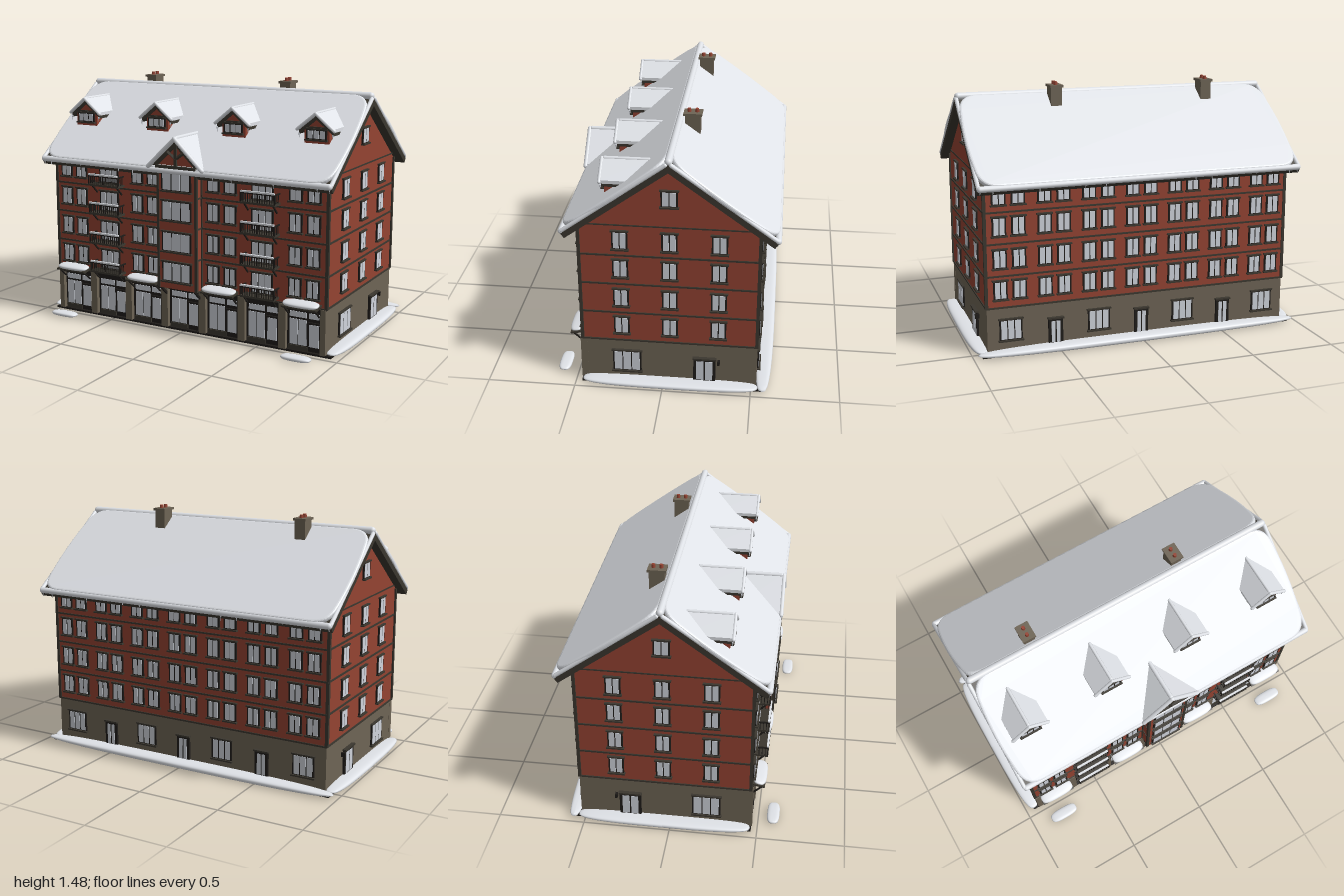
import * as THREE from 'three';

const mat = (name, color, side = THREE.FrontSide) => {
  const m = new THREE.MeshStandardMaterial({ color, side });
  m.name = name;
  return m;
};
const BRICK = mat('red wall', 0x944332);
const STONE = mat('stone', 0x6e6455);
const TRIM = mat('dark timber', 0x3b372f);
const BLACK = mat('black', 0x1f1c19);
const GLASS = mat('pale glass', 0xd0d4dc);
const SNOW = mat('snow', 0xe2e5ea);

const FRONT = 0.46, BACK = -0.53, MID = -0.035, SIDE = 0.915;
const BAYS = [-0.78, -0.52, -0.26, 0, 0.26, 0.52, 0.78];
const ROWS = [0.39, 0.57, 0.755, 0.93];

function add(parent, name, geo, m, x = 0, y = 0, z = 0) {
  const mesh = new THREE.Mesh(geo, m);
  mesh.name = name;
  mesh.position.set(x, y, z);
  parent.add(mesh);
  return mesh;
}
const box = (p, name, m, w, h, d, x, y, z) => add(p, name, new THREE.BoxGeometry(w, h, d), m, x, y, z);

function group(parent, name, x = 0, y = 0, z = 0, ry = 0) {
  const g = new THREE.Group();
  g.name = name;
  g.position.set(x, y, z);
  g.rotation.y = ry;
  parent.add(g);
  return g;
}
function polygon(points, depth) {
  const shape = new THREE.Shape(points.map(([x, y]) => new THREE.Vector2(x, y)));
  return new THREE.ExtrudeGeometry(shape, { depth, bevelEnabled: false });
}
// Bar between two points in the x-y or z-y plane
function bar(p, name, m, a, b, t) {
  const va = new THREE.Vector3(...a), vb = new THREE.Vector3(...b);
  const mesh = box(p, name, m, t, t, va.distanceTo(vb), 0, 0, 0);
  mesh.position.copy(va).lerp(vb, 0.5);
  mesh.quaternion.setFromUnitVectors(new THREE.Vector3(0, 0, 1), vb.clone().sub(va).normalize());
  return mesh;
}
// Rounded snow heap: a sphere squared off along its length
function drift(p, name, sx, sy, sz, x, y, z) {
  const geo = new THREE.SphereGeometry(1, 32, 16);
  const pos = geo.attributes.position;
  const sq = (v, e) => Math.sign(v) * Math.abs(v) ** e;
  for (let i = 0; i < pos.count; i++)
    pos.setXYZ(i, sq(pos.getX(i), 0.65) * sx, sq(pos.getY(i), 0.8) * sy, sq(pos.getZ(i), 0.65) * sz);
  geo.computeVertexNormals();
  return add(p, name, geo, SNOW, x, y, z);
}
// Window facing +z: frame, panes, lintel and sill
function windowUnit(p, name, w, h, panes, x, y, z, ry = 0) {
  const g = group(p, name, x, y, z, ry);
  box(g, 'frame', BLACK, w + 0.012, h + 0.012, 0.012, 0, 0, 0);
  const pw = w / panes;
  for (let i = 0; i < panes; i++)
    box(g, 'pane', GLASS, pw - 0.006, h - 0.006, 0.004, (i + 0.5) * pw - w / 2, 0, 0.006);
  box(g, 'lintel', TRIM, w + 0.025, 0.009, 0.02, 0, h / 2 + 0.006, 0.002);
  box(g, 'sill', TRIM, w + 0.025, 0.009, 0.026, 0, -h / 2 - 0.006, 0.004);
  return g;
}
function door(p, name, w, x, y, z, ry) {
  const g = group(p, name, x, y, z, ry);
  box(g, 'frame', BLACK, w + 0.025, 0.15, 0.02, 0, 0.075, 0);
  for (const s of [-1, 1]) box(g, 'pane', GLASS, w / 2 - 0.008, 0.125, 0.004, s * w / 4, 0.07, 0.01);
  box(g, 'hood', TRIM, w + 0.035, 0.01, 0.03, 0, 0.15, 0.004);
  return g;
}
// Chevron roof running back from its front edge along -z
function smallRoof(p, hw, drop, length, t) {
  const chevron = (w, top, thick, d) => {
    const k = drop / hw;
    return polygon([[0, top], [-w, top - w * k], [-w, top - w * k - thick], [0, top - thick], [w, top - w * k - thick], [w, top - w * k]], d);
  };
  add(p, 'roofBoards', chevron(hw - 0.006, 0, t, length - 0.01), TRIM, 0, 0, -length);
  add(p, 'roofSnow', chevron(hw, t * 0.8, t * 0.8, length), SNOW, 0, 0, -length);
  // Rounded snow along ridge and front edges
  const r = t * 0.42;
  add(p, 'ridgeSnow', new THREE.CapsuleGeometry(r, length - 0.03, 4, 10), SNOW, 0, t * 0.45, -length / 2).rotation.x = Math.PI / 2;
  for (const s of [-1, 1]) {
    const e = add(p, 'edgeSnow', new THREE.CapsuleGeometry(r, Math.hypot(hw, drop), 4, 10), SNOW, s * hw / 2, t * 0.4 - drop / 2, 0);
    e.rotation.z = s * Math.atan2(hw, drop);
  }
}
function icicle(p, x, y, z, l) {
  add(p, 'icicle', new THREE.ConeGeometry(0.005, l, 6), GLASS, x, y - l / 2, z).rotation.x = Math.PI;
}

function walls(m) {
  const half = 0.495;
  const body = add(m, 'brickBody', polygon([[-half, 0.285], [half, 0.285], [half, 0.995], [0, 1.36], [-half, 0.995]], SIDE * 2), BRICK, -SIDE, 0, MID);
  body.rotation.y = Math.PI / 2;
  box(m, 'stoneBase', STONE, SIDE * 2, 0.27, 0.97, 0, 0.15, -0.045);
  box(m, 'basePlate', BLACK, 1.9, 0.012, 1.03, 0, 0.016, -0.05);
  for (const y of [0.287, 0.47, 0.655, 0.835]) box(m, 'floorBand', TRIM, SIDE * 2 + 0.012, 0.01, 1.002, 0, y, MID);
  for (const sx of [-1, 1]) {
    box(m, 'gableBand', TRIM, 0.008, 0.008, 0.96, sx * SIDE, 1.02, MID);
    for (const z of [FRONT - 0.004, BACK + 0.004]) box(m, 'cornerTrim', TRIM, 0.018, 0.71, 0.018, sx * SIDE, 0.64, z);
    // Gable-end openings
    const ry = sx * Math.PI / 2, x = sx * (SIDE + 0.003);
    for (const z of [0.23, -0.04, -0.31])
      for (const y of ROWS) windowUnit(m, 'sideWindow', 0.075, 0.1, 2, x, y, z, ry);
    windowUnit(m, 'atticWindow', 0.08, 0.085, 2, x, 1.19, -0.04, ry);
    windowUnit(m, 'sideShopWindow', 0.15, 0.125, 3, x, 0.15, 0.205, ry);
    door(m, 'sideDoor', 0.1, x, 0.045, -0.235, ry);
    box(m, 'sideLamp', BLACK, 0.025, 0.025, 0.014, sx * (SIDE + 0.012), 0.175, -0.315);
  }
  // Rear openings
  BAYS.forEach((x, i) => {
    for (const y of ROWS)
      for (const s of [-1, 1]) windowUnit(m, 'rearWindow', 0.068, 0.1, 2, x + s * 0.055, y, BACK - 0.003, Math.PI);
    if (i % 2) door(m, 'rearDoor', 0.06, x, 0.045, BACK - 0.003, Math.PI);
    else windowUnit(m, 'rearShopWindow', 0.12, 0.115, 3, x, 0.155, BACK - 0.003, Math.PI);
  });
}

function balcony(m, x, y) {
  const g = group(m, 'balcony', x, y, FRONT);
  const w = 0.215, d = 0.072;
  box(g, 'floor', TRIM, w, 0.012, d, 0, 0, d / 2);
  box(g, 'frontRail', BLACK, w, 0.008, 0.008, 0, 0.056, d - 0.004);
  box(g, 'railSnow', SNOW, w - 0.006, 0.01, 0.012, 0, 0.064, d - 0.004);
  for (let i = 0; i <= 14; i++) box(g, 'baluster', BLACK, i % 7 ? 0.004 : 0.009, 0.056, 0.004, (i / 14 - 0.5) * (w - 0.006), 0.028, d - 0.004);
  for (const s of [-1, 1]) {
    const sx = s * (w / 2 - 0.004);
    box(g, 'sideRail', BLACK, 0.008, 0.008, d, sx, 0.056, d / 2);
    for (const z of [0.018, 0.036, 0.054]) box(g, 'sideBaluster', BLACK, 0.004, 0.056, 0.004, sx, 0.028, z);
    bar(g, 'bracket', BLACK, [s * 0.09, -0.055, 0.004], [s * 0.09, -0.005, 0.055], 0.008);
  }
}

function shopfronts(m) {
  for (let i = 0; i < 8; i++) box(m, 'pillar', STONE, i % 7 ? 0.045 : 0.032, 0.265, 0.04, Math.max(-0.9, Math.min(0.9, (i - 3.5) * 0.26)), 0.153, FRONT - 0.01);
  for (const x of BAYS) {
    const g = group(m, 'shopfront', x, 0, 0.441);
    box(g, 'shopFrame', BLACK, 0.215, 0.265, 0.006, 0, 0.152, 0);
    box(g, 'signBoard', BLACK, 0.21, 0.03, 0.025, 0, 0.272, 0.012);
    box(g, 'plinth', TRIM, 0.12, 0.025, 0.012, -0.04, 0.035, 0.004);
    for (const px of [-0.067, -0.013]) box(g, 'displayPane', GLASS, 0.05, 0.15, 0.004, px, 0.127, 0.004);
    box(g, 'transom', GLASS, 0.104, 0.032, 0.004, -0.04, 0.23, 0.004);
    box(g, 'doorTransom', GLASS, 0.064, 0.032, 0.004, 0.058, 0.23, 0.004);
    box(g, 'doorPane', GLASS, 0.06, 0.13, 0.004, 0.058, 0.115, 0.004);
    box(g, 'doorBeam', BLACK, 0.075, 0.01, 0.016, 0.058, 0.19, 0.006);
  }
  // Snow-covered canopies
  for (const x of [-0.78, -0.26, 0.26, 0.78]) {
    const c = group(m, 'canopy', x, 0.305, FRONT);
    c.rotation.x = 0.2;
    box(c, 'canopyBoard', TRIM, 0.215, 0.01, 0.075, 0, 0, 0.036);
    drift(c, 'canopySnow', 0.108, 0.014, 0.04, 0, 0.014, 0.038);
    for (const s of [-1, 1]) bar(m, 'canopyBrace', BLACK, [x + s * 0.095, 0.235, FRONT], [x + s * 0.095, 0.29, FRONT + 0.06], 0.008);
  }
}

function frontFacade(m) {
  for (const x of BAYS) for (const y of ROWS) {
    if (Math.abs(x) === 0.52) {
      windowUnit(m, 'balconyDoor', 0.125, 0.115, 3, x, y - 0.008, FRONT + 0.003);
      balcony(m, x, y - 0.078);
    } else if (x !== 0) {
      for (const s of [-1, 1]) windowUnit(m, 'frontWindow', 0.068, 0.1, 2, x + s * 0.055, y, FRONT + 0.003);
    } else windowUnit(m, 'bayWindow', 0.185, 0.11, 3, 0, y, 0.533);
  }
  // Projecting centre bay and its gable
  const bay = group(m, 'centreBay');
  add(bay, 'bayWall', polygon([[-0.125, 0.285], [0.125, 0.285], [0.125, 1.02], [0, 1.145], [-0.125, 1.02]], 0.28), BRICK, 0, 0, 0.25);
  for (const s of [-1, 1]) {
    box(bay, 'bayCorner', TRIM, 0.016, 0.73, 0.016, s * 0.127, 0.65, 0.526);
    box(bay, 'baySideBoard', TRIM, 0.012, 0.73, 0.012, s * 0.126, 0.65, 0.464);
    bar(bay, 'bayBracket', BLACK, [s * 0.115, 0.225, FRONT], [s * 0.115, 0.285, 0.525], 0.012);
    bar(bay, 'trussStrut', TRIM, [0, 1.06, 0.538], [s * 0.055, 1.1, 0.538], 0.014);
    for (const y of [0.47, 0.655, 0.835]) box(bay, 'bayBand', TRIM, 0.006, 0.01, 0.07, s * 0.126, y, 0.495);
  }
  box(bay, 'trussPost', TRIM, 0.016, 0.15, 0.014, 0, 1.08, 0.54);
  box(bay, 'trussTie', TRIM, 0.27, 0.018, 0.016, 0, 1.01, 0.54);
  smallRoof(group(bay, 'bayRoof', 0, 1.165, 0.55), 0.18, 0.17, 0.3, 0.032);
}

function mainRoof(m) {
  for (const ry of [0, Math.PI]) {
    const slope = group(group(m, 'roofSide', 0, 1.405, -0.04, ry), 'roofSlope');
    slope.rotation.x = 0.631;
    box(slope, 'roofBoards', TRIM, 1.93, 0.036, 0.72, 0, -0.018, 0.36);
    // Snow blanket with rounded corners
    const hw = 0.945, a = 0.012, b = 0.7, r = 0.11, s = new THREE.Shape();
    s.moveTo(-hw + r, -a).lineTo(hw - r, -a).quadraticCurveTo(hw - 0.01, -a, hw, -a - r);
    s.quadraticCurveTo(hw + 0.025, -(a + b) / 2, hw, -b + r).quadraticCurveTo(hw - 0.01, -b, hw - r, -b);
    s.lineTo(-hw + r, -b).quadraticCurveTo(-hw + 0.01, -b, -hw, -b + r);
    s.quadraticCurveTo(-hw - 0.025, -(a + b) / 2, -hw, -a - r).quadraticCurveTo(-hw + 0.01, -a, -hw + r, -a);
    const geo = new THREE.ExtrudeGeometry(s, { depth: 0.008, bevelThickness: 0.012, bevelSize: 0.014, bevelSegments: 3, curveSegments: 10 });
    add(slope, 'snowBlanket', geo, SNOW, 0, 0.006, 0).rotation.x = -Math.PI / 2;
    add(slope, 'eaveSnow', new THREE.CapsuleGeometry(0.018, 1.9, 4, 12), SNOW, 0, 0.004, 0.712).rotation.z = Math.PI / 2;
    for (const sx of [-1, 1])
      add(slope, 'rakeSnow', new THREE.CapsuleGeometry(0.012, 0.69, 4, 10), SNOW, sx * 0.958, 0.006, 0.36).rotation.x = Math.PI / 2;
    const edge = ry ? -0.615 : 0.535;
    for (const x of [-0.95, -0.9, -0.68, -0.4, -0.3, 0.24, 0.36, 0.62, 0.88, 0.95]) icicle(m, x, 0.985, edge, 0.025 + 0.02 * Math.abs(Math.sin(x * 37)));
  }
  add(m, 'ridgeSnow', new THREE.CapsuleGeometry(0.021, 1.89, 5, 12), SNOW, 0, 1.416, -0.04).rotation.z = Math.PI / 2;

  for (const x of [-0.785, -0.265, 0.255, 0.775]) {
    const d = group(m, 'dormer', x, 0, 0);
    add(d, 'dormerWall', polygon([[-0.075, 1.1], [0.075, 1.1], [0.075, 1.255], [0, 1.32], [-0.075, 1.255]], 0.2), BRICK, 0, 0, 0.115);
    windowUnit(d, 'dormerWindow', 0.11, 0.05, 3, 0, 1.228, 0.318);
    box(d, 'dormerTie', TRIM, 0.15, 0.012, 0.012, 0, 1.265, 0.318);
    for (const s of [-1, 1]) icicle(d, s * 0.1, 1.235, 0.33, 0.03);
    smallRoof(group(d, 'dormerRoof', 0, 1.335, 0.335), 0.11, 0.09, 0.27, 0.024);
  }
  for (const x of [-0.555, 0.39]) {
    const c = group(m, 'chimney', x, 0, -0.115);
    box(c, 'stack', STONE, 0.066, 0.2, 0.086, 0, 1.36, 0);
    box(c, 'cap', STONE, 0.08, 0.014, 0.104, 0, 1.465, 0);
    for (const z of [-0.022, 0.022]) add(c, 'pot', new THREE.CylinderGeometry(0.01, 0.012, 0.022, 10), BRICK, 0, 1.48, z);
  }
}

export function createModel() {
  const m = new THREE.Group();
  m.name = 'snowyApartmentBuilding';
  walls(m);
  shopfronts(m);
  frontFacade(m);
  mainRoof(m);
  // Snow banks on the ground
  for (const s of [-1, 1]) {
    drift(m, 'sideDrift', 0.058, 0.019, 0.5, s * 0.942, 0.03, -0.04);
    drift(m, 'frontDrift', 0.09, 0.014, 0.036, s * 0.793, 0.028, 0.586);
  }
  drift(m, 'rearDrift', 0.98, 0.021, 0.055, 0, 0.031, -0.565);
  return m;
}
